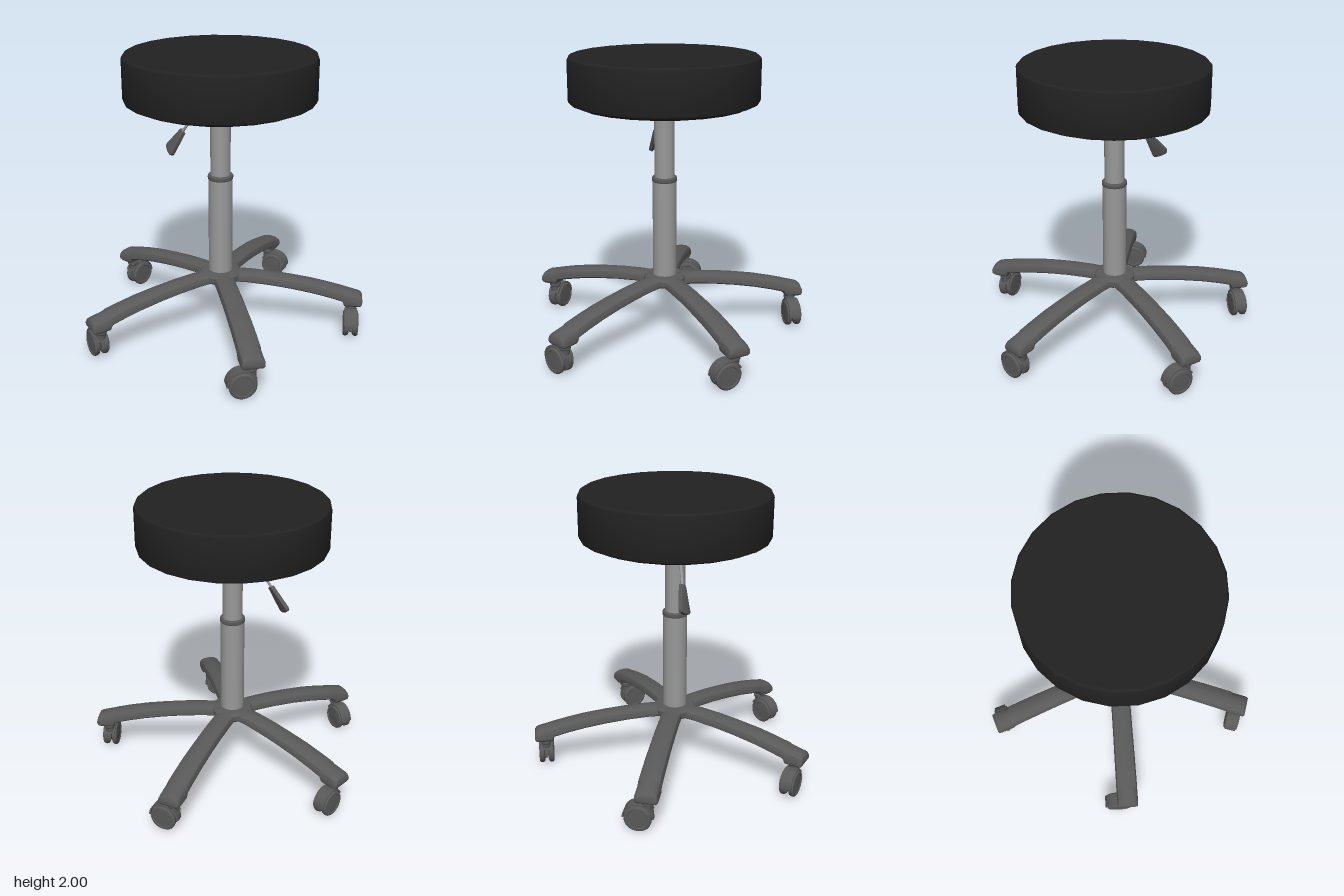
import * as THREE from 'three';
import { toCreasedNormals } from 'three/addons/utils/BufferGeometryUtils.js';

const material = (name, color) => Object.assign(new THREE.MeshStandardMaterial({ color }), { name });

function mesh(name, geometry, mat, x = 0, y = 0, z = 0) {
  const m = new THREE.Mesh(geometry, mat);
  m.name = name;
  m.position.set(x, y, z);
  return m;
}

// Turned part from [radius, height] pairs, bottom to top
function turned(points, sides) {
  const profile = points.map(([r, y]) => new THREE.Vector2(r, y));
  return toCreasedNormals(new THREE.LatheGeometry(profile, sides), 0.5);
}

// Flat shape extruded symmetrically about its own plane
function plate(shape, depth, bevel = 0) {
  const g = new THREE.ExtrudeGeometry(shape, {
    depth: depth - 2 * bevel, curveSegments: 16, bevelEnabled: bevel > 0,
    bevelSize: bevel, bevelThickness: bevel, bevelOffset: -bevel, bevelSegments: 2,
  });
  g.translate(0, 0, bevel - depth / 2);
  return toCreasedNormals(g, 0.5);
}

// Arched leg lofted along +x through rounded sections
function legGeometry() {
  // distance from the column, top, bottom, half width
  const stations = [
    [0, 0.447, 0.38, 0.072], [0.2, 0.445, 0.375, 0.071], [0.35, 0.434, 0.362, 0.072],
    [0.5, 0.416, 0.342, 0.073], [0.65, 0.393, 0.316, 0.075], [0.78, 0.365, 0.286, 0.076],
    [0.872, 0.342, 0.26, 0.077], [0.885, 0.339, 0.228, 0.077], [0.95, 0.321, 0.224, 0.077],
    [0.985, 0.311, 0.224, 0.077], [1.002, 0.3, 0.227, 0.075], [1.01, 0.28, 0.24, 0.07],
  ];
  const half = [[-0.85, 0], [-1, 0.14], [-1, 0.5], [-0.88, 0.76], [-0.5, 0.95]];
  const section = [...half, [0, 1], ...half.map(([u, v]) => [-u, v]).reverse()];
  const n = section.length, positions = [], index = [];
  for (const [x, top, bottom, w] of stations)
    for (const [u, v] of section) positions.push(x, bottom + v * (top - bottom), u * w);
  for (let i = 0; i < stations.length - 1; i++)
    for (let j = 0; j < n; j++) {
      const a = i * n + j, b = i * n + (j + 1) % n;
      index.push(a, b, a + n, b, b + n, a + n);
    }
  const end = (stations.length - 1) * n;
  for (let j = 1; j < n - 1; j++) index.push(end, end + j, end + j + 1);
  const g = new THREE.BufferGeometry();
  g.setAttribute('position', new THREE.Float32BufferAttribute(positions, 3));
  g.setIndex(index);
  return toCreasedNormals(g, 0.65);
}

export function createModel() {
  const vinyl = material('black vinyl', 0x222222);
  const steel = material('steel', 0x999999);
  const plastic = material('dark grey plastic', 0x595959);
  const stool = new THREE.Group();
  stool.name = 'stool';
  stool.position.set(-0.007, 0, 0.064);

  // Cushion, base board and mounting flange
  stool.add(
    mesh('cushion', turned([[0, 1.69], [0.632, 1.69], [0.643, 1.695], [0.648, 1.71], [0.648, 1.975],
      [0.643, 1.99], [0.63, 2], [0, 2]], 24), vinyl),
    mesh('seatBoard', turned([[0, 1.67], [0.585, 1.67], [0.605, 1.692], [0, 1.692]], 24), vinyl),
    mesh('seatFlange', turned([[0, 1.585], [0.08, 1.585], [0.082, 1.625], [0.115, 1.637],
      [0.14, 1.655], [0.145, 1.665], [0.235, 1.665], [0.235, 1.675]], 24), vinyl));

  // Gas lift column
  stool.add(
    mesh('upperColumn', new THREE.CylinderGeometry(0.07, 0.07, 0.45, 24), steel, 0, 1.375),
    mesh('columnCollar', turned([[0, 1.13], [0.085, 1.13], [0.088, 1.135], [0.088, 1.154],
      [0.083, 1.162], [0, 1.162]], 24), plastic),
    mesh('lowerColumn', new THREE.CylinderGeometry(0.084, 0.084, 0.7, 24), steel, 0, 0.785));

  // Height lever with a flat tapered paddle
  const along = new THREE.Vector3(0.57, 0.82, 0).normalize();
  const across = new THREE.Vector3(0.6, -0.5, 0.63);
  across.addScaledVector(along, -across.dot(along)).normalize();
  const lever = new THREE.Group();
  lever.name = 'heightLever';
  lever.quaternion.setFromRotationMatrix(new THREE.Matrix4().makeBasis(
    across, along, new THREE.Vector3().crossVectors(across, along)));
  lever.position.set(-0.283, 1.43, 0.01);
  const paddle = new THREE.Shape();
  paddle.moveTo(-0.025, 0.01);
  paddle.lineTo(-0.056, -0.16);
  paddle.quadraticCurveTo(-0.056, -0.183, -0.035, -0.187);
  paddle.quadraticCurveTo(0, -0.195, 0.035, -0.187);
  paddle.quadraticCurveTo(0.056, -0.183, 0.056, -0.16);
  paddle.lineTo(0.025, 0.01);
  lever.add(
    mesh('leverRod', new THREE.CylinderGeometry(0.01, 0.01, 0.31, 10), steel, 0, 0.145),
    mesh('leverPaddle', plate(paddle, 0.028, 0.006), plastic));
  stool.add(lever);

  // Hub of the base
  stool.add(mesh('baseHub', turned([[0, 0.373], [0.085, 0.373], [0.09, 0.38], [0.14, 0.382],
    [0.15, 0.395], [0.15, 0.43], [0.135, 0.444], [0.1, 0.449], [0, 0.449]], 20), plastic));

  // Shared leg and caster geometry
  const leg = legGeometry();
  const wheel = turned([[0, -0.02], [0.076, -0.02], [0.088, -0.014], [0.092, -0.004], [0.092, 0.01],
    [0.085, 0.018], [0.07, 0.02], [0.066, 0.016], [0, 0.016]], 24);
  const hoodShape = new THREE.Shape();
  hoodShape.absarc(0, 0, 0.104, 0, 2.7, false);
  hoodShape.absarc(0, 0, 0.094, 2.7, 0, true);
  const hood = plate(hoodShape, 0.084);
  const webShape = new THREE.Shape();
  webShape.absarc(0, 0, 0.1, -0.2, 3.3, false);
  const web = plate(webShape, 0.024);
  const stem = turned([[0, 0.15], [0.034, 0.15], [0.036, 0.185], [0.042, 0.192], [0.042, 0.212],
    [0.032, 0.216], [0.032, 0.235], [0, 0.235]], 16);

  // Five legs, each with a trailing twin-wheel caster
  for (let k = 0; k < 5; k++) {
    const arm = new THREE.Group();
    arm.name = `baseLeg${k + 1}`;
    arm.rotation.y = Math.PI / 2 + k * Math.PI * 2 / 5;
    const caster = new THREE.Group();
    caster.name = 'caster';
    caster.position.x = 0.935;
    caster.add(mesh('casterStem', stem, plastic));
    for (const [name, geometry] of [['casterHood', hood], ['casterWeb', web]]) {
      const part = mesh(name, geometry, plastic, 0, 0.094, 0.06);
      part.rotation.y = -Math.PI / 2;
      caster.add(part);
    }
    for (const side of [-1, 1]) {
      const w = mesh('casterWheel', wheel, plastic, side * 0.033, 0.094, 0.06);
      w.rotation.z = -side * Math.PI / 2;
      caster.add(w);
    }
    arm.add(mesh('leg', leg, plastic), caster);
    stool.add(arm);
  }

  const model = new THREE.Group();
  model.name = 'rollingStool';
  model.add(stool);
  return model;
}
